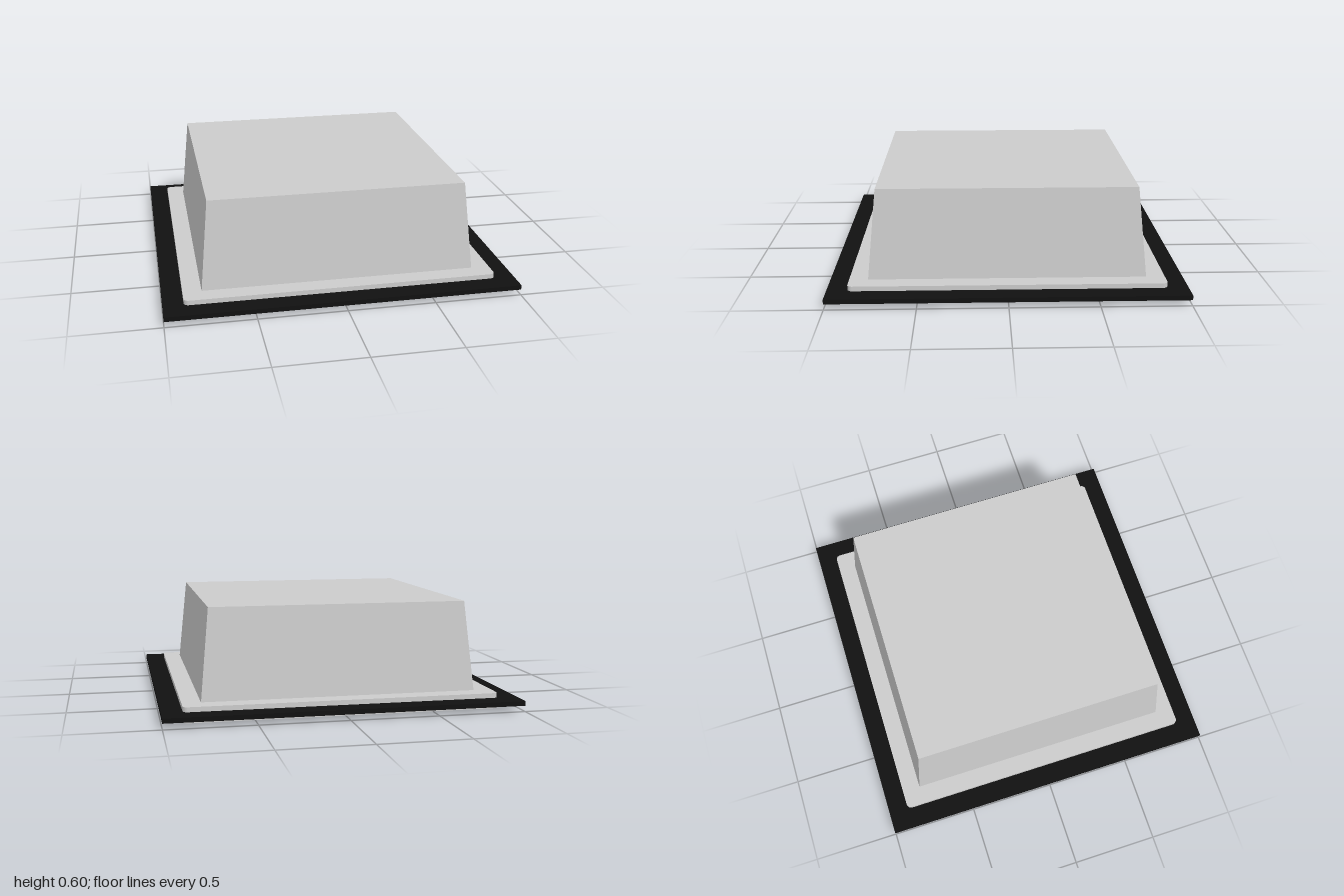
import * as THREE from 'three';

const grey = new THREE.MeshStandardMaterial({ color: 0xcccccc, flatShading: true });
const black = new THREE.MeshStandardMaterial({ color: 0x111111, flatShading: true });

// Square outline with rounded corners
function roundedSquare(h, r) {
  const s = new THREE.Shape();
  [[1, 1], [-1, 1], [-1, -1], [1, -1]].forEach(([x, y], i) => {
    s.absarc(x * (h - r), y * (h - r), r, i * Math.PI / 2, (i + 1) * Math.PI / 2, false);
  });
  s.closePath();
  return s;
}

// Flat square frame lying on y
function frame(name, y, height) {
  const inner = 0.78;
  const shape = roundedSquare(0.885, 0.027);
  shape.holes.push(new THREE.Path([
    new THREE.Vector2(-inner, -inner), new THREE.Vector2(-inner, inner),
    new THREE.Vector2(inner, inner), new THREE.Vector2(inner, -inner),
  ]));
  const geo = new THREE.ExtrudeGeometry(shape, { depth: height, bevelEnabled: false, curveSegments: 5 });
  geo.rotateX(-Math.PI / 2);
  const mesh = new THREE.Mesh(geo, grey);
  mesh.name = name;
  mesh.position.y = y;
  return mesh;
}

export function createModel() {
  const model = new THREE.Group();
  model.name = 'coveredTray';

  // Thin square sheet clamped between the frames
  const sheet = new THREE.Mesh(new THREE.BoxGeometry(2, 0.027, 2), black);
  sheet.name = 'sheet';
  sheet.position.y = 0.0465;
  model.add(sheet);

  model.add(frame('lowerFrame', 0, 0.033));
  model.add(frame('upperFrame', 0.06, 0.027));

  // Tapered cover: a box whose top is drawn inwards
  const bottom = 0.06, top = 0.597;
  const geo = new THREE.BoxGeometry(2, top - bottom, 2);
  const p = geo.attributes.position;
  for (let i = 0; i < p.count; i++) {
    const half = p.getY(i) > 0 ? 0.729 : 0.782;
    p.setX(i, p.getX(i) * half);
    p.setZ(i, p.getZ(i) * half);
  }
  geo.computeVertexNormals();
  const cover = new THREE.Mesh(geo, grey);
  cover.name = 'cover';
  cover.position.y = (bottom + top) / 2;
  model.add(cover);

  return model;
}
